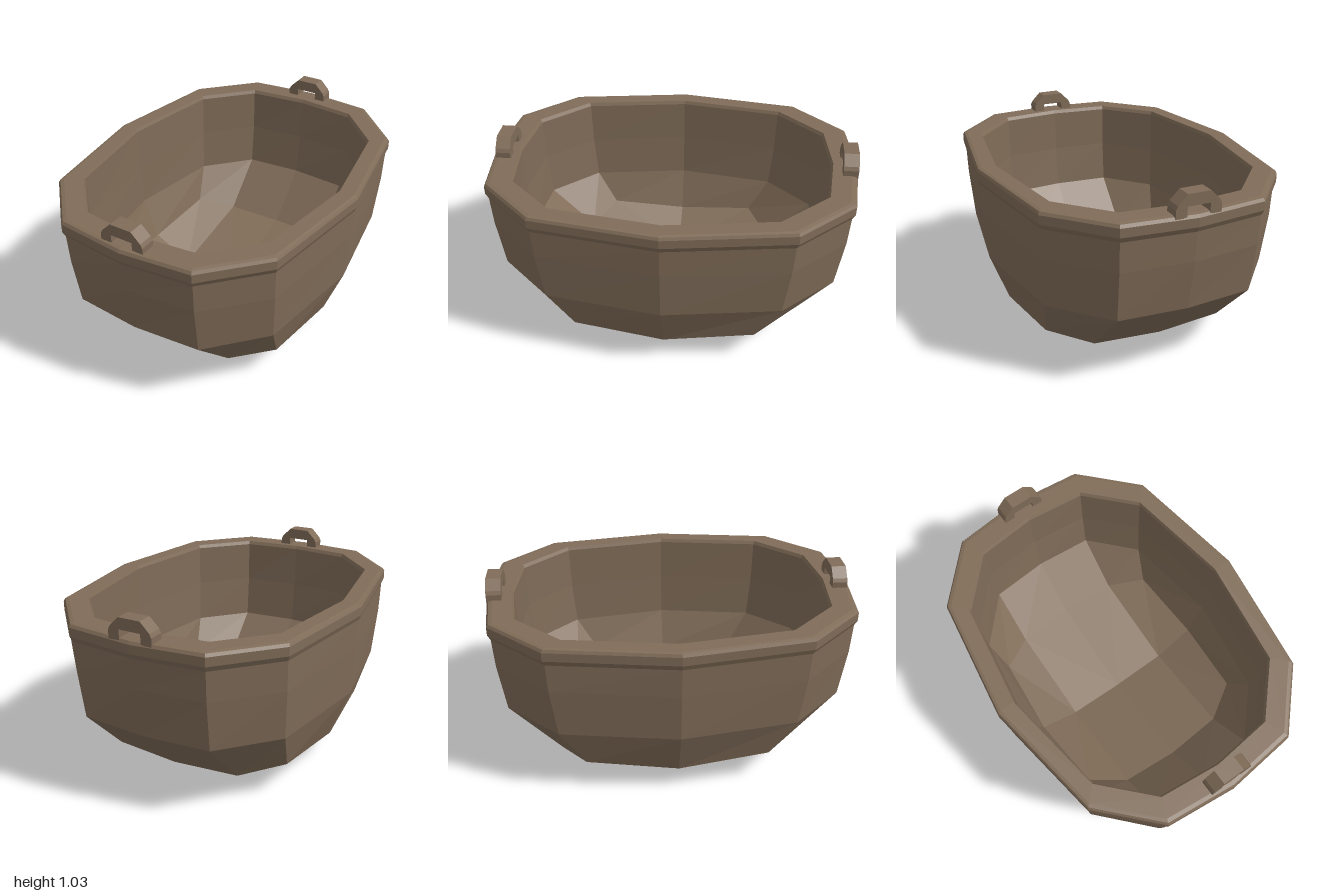
import * as THREE from 'three';

// Twelve-sided ring, mirrored from one quarter: [x, y, z] from front centre to side centre
function ring(q) {
  const [a, b, c, d] = q;
  const m = (p, sx, sz) => [p[0] * sx, p[1], p[2] * sz];
  return [a, b, c, d, m(c, 1, -1), m(b, 1, -1), m(a, 1, -1), m(b, -1, -1),
    m(c, -1, -1), m(d, -1, 1), m(c, -1, 1), m(b, -1, 1)];
}

// Level ring from quarter outline [x, z]
const level = (y, outline, s = 1) => ring(outline.map(([x, z]) => [x * s, y, z * s]));

function quadMesh(name, quads, material) {
  const pos = [];
  for (const [a, b, c, d] of quads) pos.push(...a, ...b, ...c, ...a, ...c, ...d);
  const g = new THREE.BufferGeometry();
  g.setAttribute('position', new THREE.Float32BufferAttribute(pos, 3));
  g.computeVertexNormals();
  const mesh = new THREE.Mesh(g, material);
  mesh.name = name;
  return mesh;
}

// Walls between successive rings
function loft(rings) {
  const quads = [];
  for (let k = 0; k < rings.length - 1; k++) {
    for (let i = 0; i < 12; i++) {
      const j = (i + 1) % 12;
      quads.push([rings[k][i], rings[k][j], rings[k + 1][j], rings[k + 1][i]]);
    }
  }
  return quads;
}

// Faceted cap folded along the z = 0 line
function cap(r, c, side, flip) {
  const l = [-side[0], side[1], 0];
  const quads = [
    [c, r[0], r[1], side], [side, r[1], r[2], r[3]], [side, r[3], r[4], r[5]], [c, side, r[5], r[6]],
    [c, r[6], r[7], l], [l, r[7], r[8], r[9]], [l, r[9], r[10], r[11]], [c, l, r[11], r[0]],
  ];
  return flip ? quads.map((q) => q.slice().reverse()) : quads;
}

export function createModel() {
  const group = new THREE.Group();
  const wood = new THREE.MeshStandardMaterial({ color: 0x806c58, flatShading: true });
  wood.name = 'brown wood';

  const rimLine = [[0, 0.997], [0.38, 0.957], [0.655, 0.667], [0.755, 0]];
  const midLine = [[0, 0.972], [0.372, 0.935], [0.642, 0.65], [0.738, 0]];
  const waistLine = [[0, 0.93], [0.365, 0.9], [0.625, 0.62], [0.72, 0]];
  const bilge = [[0, 0.115, 0.65], [0.365, 0.125, 0.625], [0.58, 0.185, 0.49], [0.62, 0.14, 0]];
  const inset = 0.88;
  const floorQuarter = bilge.map(([x, y, z]) => [x * inset, y + 0.07, z * inset]);

  // Outer hull
  const low = ring(bilge);
  const neck = level(0.84, rimLine, 0.985);
  group.add(quadMesh('outerHull', [
    ...cap(low, [0, 0, 0], [0.365, 0.02, 0], true),
    ...loft([low, level(0.41, waistLine), level(0.68, midLine), neck]),
  ], wood));

  // Raised rim with bevelled edges
  const lip = level(0.915, rimLine, 0.855);
  group.add(quadMesh('rim', loft([
    neck, level(0.868, rimLine), level(0.915, rimLine), level(0.93, rimLine, 0.99),
    level(0.934, rimLine, 0.97), level(0.934, rimLine, 0.865), lip,
  ]), wood));

  // Inner walls and floor
  const floorRing = ring(floorQuarter);
  group.add(quadMesh('innerHull', [
    ...loft([lip, level(0.68, midLine, 0.87), level(0.44, waistLine, inset), floorRing]),
    ...cap(floorRing, [0, 0.07, 0], [0.365 * inset, 0.09, 0], false),
  ], wood));

  // Angular lifting loops at both ends
  const half = [[0.12, 0.92], [0.12, 0.965], [0.11, 0.985], [0.06, 1.035]];
  const inner = [[-0.06, 0.975], [-0.06, 0.92]];
  const outline = [[0.06, 0.92], ...half, ...half.slice().reverse().map(([x, y]) => [-x, y]),
    inner[1], inner[0], [0.06, 0.975]];
  const shape = new THREE.Shape(outline.map(([x, y]) => new THREE.Vector2(x, y)));
  const loopGeometry = new THREE.ExtrudeGeometry(shape, { depth: 0.08, bevelEnabled: false });
  for (const [name, z] of [['frontLoop', 0.885], ['backLoop', -0.985]]) {
    const loop = new THREE.Mesh(loopGeometry, wood);
    loop.name = name;
    loop.position.z = z;
    group.add(loop);
  }
  return group;
}
